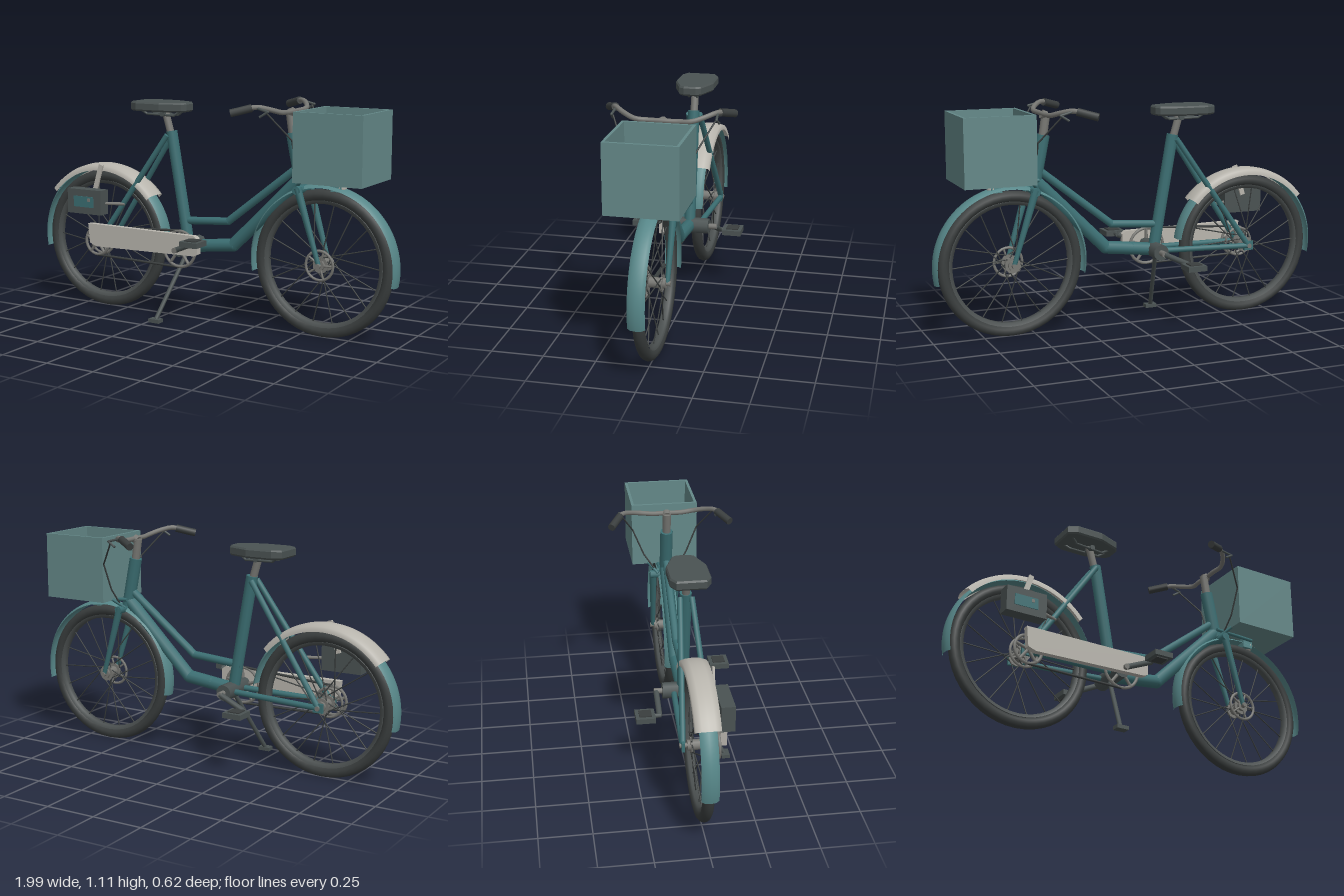
import * as THREE from 'three';

const mat = (color, side = THREE.FrontSide) => new THREE.MeshStandardMaterial({ color, side });
const V = (p) => new THREE.Vector3(...p);

export function createModel() {
  const root = new THREE.Group();
  const frameMat = mat(0x3b6e72), fenderMat = mat(0x568688, THREE.DoubleSide), basketMat = mat(0x648888);
  const dark = mat(0x4a5252), rubber = mat(0x3a3e3e), light = mat(0xb8b5ad, THREE.DoubleSide), metal = mat(0x777773);
  const BB = [-0.125, 0.37], REAR = [-0.62, 0.36], FRONT = [0.615, 0.36];

  const add = (name, geo, material, pos = [0, 0, 0], parent = root) => {
    const m = new THREE.Mesh(geo, material);
    m.name = name;
    m.position.set(...pos);
    parent.add(m);
    return m;
  };
  const box = (name, size, pos, material, parent) => add(name, new THREE.BoxGeometry(...size), material, pos, parent);
  // straight round bar between two points
  const rod = (name, a, b, r, material, r2 = r, parent = root) => {
    const d = V(b).sub(V(a));
    const m = add(name, new THREE.CylinderGeometry(r2, r, d.length(), 10), material,
      V(a).add(V(b)).multiplyScalar(0.5).toArray(), parent);
    m.quaternion.setFromUnitVectors(new THREE.Vector3(0, 1, 0), d.normalize());
    return m;
  };
  // bent bar with rounded joints
  const bar = (name, pts, r, material) => {
    const g = new THREE.Group();
    g.name = name;
    root.add(g);
    pts.forEach((p, i) => {
      if (i === 0) return;
      rod(name, pts[i - 1], p, r, material, r, g);
      if (i < pts.length - 1) add(name + 'Joint', new THREE.SphereGeometry(r, 10, 8), material, p, g);
    });
  };
  const axle = (name, r, z0, z1, c, material, parent) =>
    rod(name, [c[0], c[1], z0], [c[0], c[1], z1], r, material, r, parent);
  // profile of [radius, z] swept around a wheel axis between two angles in degrees
  const sweep = (name, profile, a0, a1, material, c, parent) => {
    const rad = Math.PI / 180;
    const g = new THREE.LatheGeometry(profile.map((p) => new THREE.Vector2(...p)), 48, Math.PI / 2 + a0 * rad, (a1 - a0) * rad);
    return add(name, g.rotateX(Math.PI / 2), material, [c[0], c[1], 0], parent);
  };
  const rim2 = mat(0x4b5050, THREE.DoubleSide);

  // wheels
  const wheel = (name, c) => {
    const g = new THREE.Group();
    g.name = name;
    g.position.set(c[0], c[1], 0);
    root.add(g);
    add('tyre', new THREE.TorusGeometry(0.328, 0.027, 10, 48), rubber, [0, 0, 0], g);
    sweep('rim', [[0.305, -0.02], [0.288, -0.014], [0.288, 0.014], [0.305, 0.02]], 0, 360, rim2, [0, 0], g);
    axle('hub', 0.025, -0.05, 0.05, [0, 0], metal, g);
    for (const z of [-0.032, 0.032]) axle('hubFlange', 0.04, z - 0.004, z + 0.004, [0, 0], metal, g);
    add('brakeRing', new THREE.TorusGeometry(0.07, 0.007, 6, 28), metal, [0, 0, 0.045], g);
    for (let i = 0; i < 5; i++) {
      const t = i * Math.PI * 0.4;
      rod('ringArm', [0, 0, 0.045], [0.07 * Math.cos(t), 0.07 * Math.sin(t), 0.045], 0.005, metal, 0.005, g);
    }
    for (let i = 0; i < 18; i++) {
      const t = i * Math.PI / 9, s = t + (i % 4 < 2 ? 0.9 : -0.9), z = i % 2 ? 0.032 : -0.032;
      rod('spoke', [0.038 * Math.cos(s), 0.038 * Math.sin(s), z], [0.29 * Math.cos(t), 0.29 * Math.sin(t), 0], 0.003, rubber, 0.003, g);
    }
  };
  wheel('rearWheel', REAR);
  wheel('frontWheel', FRONT);

  // mudguards and the wider rear dress guard
  const fender = [[0.364, -0.04], [0.376, -0.025], [0.38, 0], [0.376, 0.025], [0.364, 0.04]];
  sweep('rearFender', fender, 8, 191, fenderMat, REAR);
  sweep('frontFender', fender, -11, 191, fenderMat, FRONT);
  sweep('rearGuard', [[0.365, -0.06], [0.39, -0.057], [0.398, -0.03], [0.4, 0], [0.398, 0.03], [0.39, 0.057], [0.365, 0.06]],
    40, 140, light, [-0.62, 0.355]);

  // frame
  bar('lowerTube', [[0.485, 0.75, 0], [0.13, 0.4, 0], [0.0, 0.385, 0], [...BB, 0]], 0.032, frameMat);
  bar('upperTube', [[0.465, 0.8, 0], [0.1, 0.515, 0], [-0.17, 0.495, 0]], 0.019, frameMat);
  rod('seatTube', [...BB, 0], [-0.225, 0.94, 0], 0.029, frameMat);
  rod('headTube', [0.495, 0.725, 0], [0.445, 0.97, 0], 0.032, frameMat);
  axle('crankHousing', 0.04, -0.1, 0.1, BB, dark);
  for (const s of [-1, 1]) {
    rod('seatStay', [-0.235, 0.92, s * 0.028], [...REAR, s * 0.07], 0.014, frameMat);
    rod('chainStay', [-0.13, 0.37, s * 0.045], [...REAR, s * 0.07], 0.014, frameMat);
    rod('forkLeg', [0.505, 0.72, s * 0.064], [...FRONT, s * 0.055], 0.019, frameMat, 0.011);
    box('rearDropout', [0.05, 0.045, 0.012], [REAR[0], REAR[1], s * 0.07], frameMat);
    // basket carrier struts
    rod('carrierStrut', [0.49, 0.72, s * 0.04], [0.56, 0.79, s * 0.11], 0.008, frameMat);
    rod('carrierRail', [0.48, 0.76, s * 0.035], [0.7, 0.75, s * 0.035], 0.009, frameMat);
  }
  rod('forkCrown', [0.505, 0.71, -0.08], [0.505, 0.71, 0.08], 0.02, frameMat);
  axle('rearAxle', 0.012, -0.085, 0.1, REAR, metal);
  axle('frontAxle', 0.012, -0.07, 0.07, FRONT, metal);

  // saddle: outline narrowing toward the nose
  const half = [[-0.42, 0.07], [-0.375, 0.095], [-0.24, 0.095], [-0.135, 0.055], [-0.12, 0.03]];
  const outline = [...half, ...half.map(([x, z]) => [x, -z]).reverse()].map((p) => new THREE.Vector2(...p));
  const saddle = new THREE.ExtrudeGeometry(new THREE.Shape(outline),
    { depth: 0.03, bevelThickness: 0.008, bevelSize: 0.006, bevelOffset: -0.006, bevelSegments: 1 });
  add('saddle', saddle.rotateX(-Math.PI / 2), dark, [0, 1.047, 0]);
  rod('seatPost', [-0.215, 0.88, 0], [-0.265, 1.05, 0], 0.019, metal);
  for (const s of [-1, 1]) bar('saddleRail', [[-0.38, 1.045, s * 0.045], [-0.35, 1.022, s * 0.03], [-0.2, 1.018, s * 0.02], [-0.16, 1.045, s * 0.015]], 0.006, dark);
  rod('saddleClamp', [-0.26, 1.025, -0.035], [-0.26, 1.025, 0.035], 0.014, dark);

  // stem, handlebar, grips, brake levers and cables
  rod('stem', [0.447, 0.96, 0], [0.43, 1.07, 0], 0.021, metal);
  rod('stemClamp', [0.43, 1.06, 0], [0.452, 1.07, 0], 0.022, metal);
  const bend = [[0.445, 1.07, 0.07], [0.45, 1.075, 0.13], [0.42, 1.092, 0.19], [0.375, 1.103, 0.235], [0.29, 1.08, 0.285]];
  const curve = new THREE.CatmullRomCurve3(
    [...bend.map(([x, y, z]) => V([x, y, -z])).reverse(), V([0.447, 1.07, 0]), ...bend.map(V)]);
  add('handlebar', new THREE.TubeGeometry(curve, 40, 0.012, 8), metal);
  for (const s of [-1, 1]) {
    rod('grip', [0.36, 1.1, s * 0.243], [0.275, 1.076, s * 0.294], 0.019, rubber);
    bar('brakeLever', [[0.38, 1.1, s * 0.235], [0.44, 1.085, s * 0.24], [0.4, 1.06, s * 0.245]], 0.006, dark);
    bar('brakeCable', [[0.43, 1.08, s * 0.235], [0.525, 0.955, s * 0.165], [0.52, 0.82, s * 0.11], [0.505, 0.73, s * 0.05]], 0.004, rubber);
  }

  // open basket with lamp and mount below
  const basket = new THREE.Group();
  basket.name = 'basket';
  basket.position.set(0.7025, 0.76, 0);
  root.add(basket);
  box('basketFloor', [0.345, 0.015, 0.336], [0, 0.0075, 0], basketMat, basket);
  for (const s of [-1, 1]) {
    box('basketSide', [0.345, 0.325, 0.014], [0, 0.1625, s * 0.161], basketMat, basket);
    box('basketEnd', [0.014, 0.325, 0.308], [s * 0.1655, 0.1625, 0], basketMat, basket);
  }
  box('basketMount', [0.055, 0.05, 0.05], [0.683, 0.735, 0], fenderMat);
  add('headlamp', new THREE.SphereGeometry(0.026, 12, 8), light, [0.7, 0.73, 0]);

  // rear wheel lock box with display and brackets
  box('lockBox', [0.205, 0.125, 0.065], [-0.6625, 0.567, 0.112], dark);
  box('lockDisplay', [0.12, 0.055, 0.004], [-0.665, 0.567, 0.146], frameMat);
  box('displayButton', [0.016, 0.016, 0.004], [-0.632, 0.578, 0.148], metal);
  const strap = box('lockBracket', [0.025, 0.16, 0.01], [-0.63, 0.675, 0.068], light);
  strap.rotation.z = -0.3;
  rod('lockRod', [-0.57, 0.56, 0.1], [-0.47, 0.56, 0.06], 0.008, metal);

  // chain case, sprockets and chain
  const caseShape = new THREE.Shape([[-0.65, 0.455], [-0.02, 0.45], [0, 0.435], [0, 0.36], [-0.02, 0.35], [-0.6, 0.34], [-0.64, 0.355]]
    .map((p) => new THREE.Vector2(...p)));
  add('chainCase', new THREE.ExtrudeGeometry(caseShape, { depth: 0.03, bevelEnabled: false }), light, [0, 0, 0.1]);
  for (const [c, r] of [[BB, 0.09], [REAR, 0.07]]) {
    add('sprocket', new THREE.TorusGeometry(r, 0.008, 6, 28), metal, [...c, 0.09]);
    for (let i = 0; i < 5; i++) {
      const t = i * Math.PI * 0.4 + 0.3;
      rod('sprocketArm', [...c, 0.09], [c[0] + r * Math.cos(t), c[1] + r * Math.sin(t), 0.09], 0.008, metal);
    }
  }
  for (const s of [-1, 1]) rod('chain', [REAR[0], REAR[1] + s * 0.072, 0.09], [BB[0], BB[1] + s * 0.092, 0.09], 0.006, rubber);

  // cranks and pedals, half a turn apart
  axle('crankAxle', 0.014, -0.14, 0.145, BB, metal);
  for (const [x, y, s] of [[0.018, 0.43, 1], [-0.255, 0.308, -1]]) {
    rod('crank', [...BB, s * 0.13], [x, y, s * 0.13], 0.014, dark);
    rod('pedalAxle', [x, y, s * 0.122], [x, y, s * 0.2], 0.011, dark);
    box('pedal', [0.098, 0.026, 0.095], [x, y, s * 0.2], dark);
    box('pedalTread', [0.06, 0.036, 0.06], [x, y, s * 0.2], rubber);
  }

  // kickstand
  rod('kickstand', [-0.135, 0.34, 0.0], [-0.195, 0.03, 0.2], 0.011, dark);
  box('kickstandFoot', [0.06, 0.018, 0.04], [-0.195, 0.023, 0.205], dark);

  return root;
}
